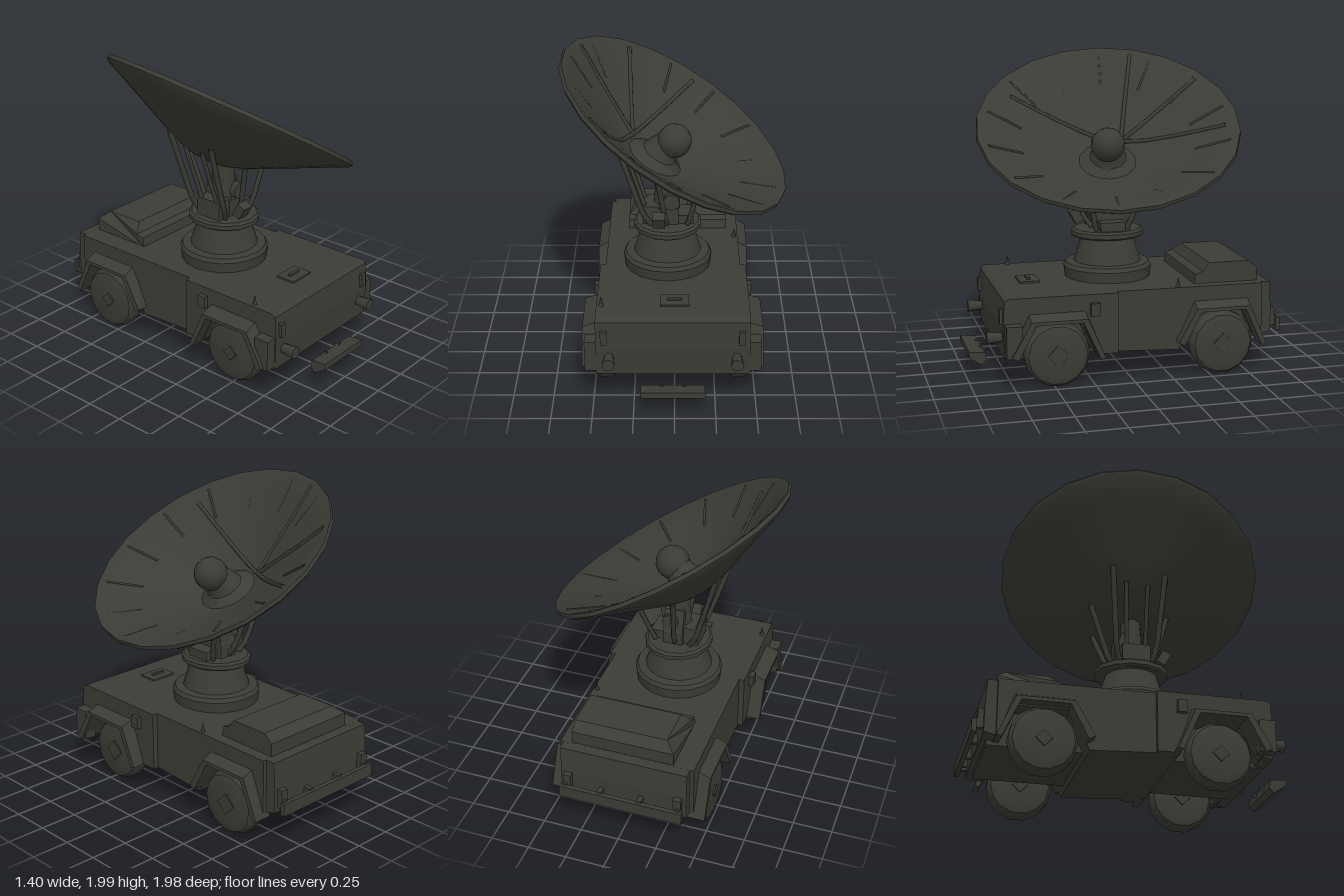
import * as THREE from 'three';
import { toCreasedNormals } from 'three/addons/utils/BufferGeometryUtils.js';

export function createModel() {
  const model = new THREE.Group();
  model.name = 'radarTruck';
  const paint = new THREE.MeshStandardMaterial({ color: 0x3b3c35, side: THREE.DoubleSide });
  paint.name = 'dark olive';
  const V = (x, y, z) => new THREE.Vector3(x, y, z);

  function add(name, geometry, x = 0, y = 0, z = 0, parent = model) {
    const mesh = new THREE.Mesh(geometry, paint);
    mesh.name = name;
    mesh.position.set(x, y, z);
    parent.add(mesh);
    return mesh;
  }
  const box = (name, w, h, d, x, y, z) => add(name, new THREE.BoxGeometry(w, h, d), x, y, z);

  // Side outline given as [z, y], extruded across x and centred on x = 0
  function sideExtrude(outline, width) {
    const shape = new THREE.Shape(outline.map(([z, y]) => new THREE.Vector2(z, y)));
    const g = new THREE.ExtrudeGeometry(shape, { depth: width, bevelEnabled: false });
    return g.translate(0, 0, -width / 2).rotateY(-Math.PI / 2);
  }
  const lathe = (points, sides) => toCreasedNormals(
    new THREE.LatheGeometry(points.map(([r, y]) => new THREE.Vector2(r, y)), sides), 0.6);

  // Straight or bent bar through a few points
  function bar(name, points, radius, parent = model) {
    const path = new THREE.CurvePath();
    for (let i = 1; i < points.length; i++) path.add(new THREE.LineCurve3(points[i - 1], points[i]));
    return add(name, new THREE.TubeGeometry(path, 4 * (points.length - 1), radius, 6), 0, 0, 0, parent);
  }

  // Hull with cut-out wheel arches: wide front, slightly narrower rear, stepped tail
  add('frontHull', sideExtrude([
    [0.81, 0.21], [0.82, 0.4], [0.81, 0.57], [0.78, 0.585], [0.1, 0.582], [0.1, 0.2],
    [0.24, 0.2], [0.34, 0.43], [0.64, 0.43], [0.75, 0.22],
  ], 0.94), -0.01);
  add('rearHull', sideExtrude([
    [0.1, 0.2], [0.1, 0.582], [-0.85, 0.577], [-0.85, 0.23], [-0.82, 0.23],
    [-0.74, 0.42], [-0.42, 0.42], [-0.3, 0.18],
  ], 0.87), -0.01);
  add('tail', sideExtrude([[-0.84, 0.577], [-0.91, 0.575], [-0.92, 0.4], [-0.92, 0.25], [-0.84, 0.23]], 0.82), -0.01);
  box('chassis', 0.6, 0.34, 1.68, -0.01, 0.38, -0.05);

  // Wheels, hubs and fender flares
  const tyre = lathe([[0, -0.065], [0.14, -0.075], [0.185, -0.06], [0.205, -0.03],
    [0.205, 0.03], [0.185, 0.06], [0.14, 0.075], [0, 0.065]], 14).rotateZ(Math.PI / 2);
  const hub = new THREE.CylinderGeometry(0.05, 0.07, 0.155, 4).rotateZ(Math.PI / 2);
  for (const [end, wz, flareWidth, reach] of [['front', 0.48, 0.17, 0.557], ['rear', -0.58, 0.12, 0.507]]) {
    for (const s of [1, -1]) {
      const flare = sideExtrude([
        [0.3, 0.24], [0.18, 0.51], [-0.17, 0.51], [-0.28, 0.2],
        [-0.25, 0.19], [-0.14, 0.43], [0.15, 0.43], [0.26, 0.22],
      ], flareWidth);
      // The top of the flare slopes down towards its outer lip
      const q = flare.attributes.position;
      for (let i = 0; i < q.count; i++) {
        if (q.getX(i) * s > 0 && q.getY(i) > 0.45) q.setY(i, 0.452);
      }
      flare.computeVertexNormals();
      const side = s > 0 ? 'Left' : 'Right';
      add(end + side + 'Flare', flare, s * (reach - flareWidth / 2) - 0.012, 0, wz);
      add(end + side + 'Wheel', tyre, s * 0.415 - 0.015, 0.21, wz);
      add(end + side + 'Hub', hub, s * 0.415 - 0.015, 0.21, wz);
    }
  }
  // Solid blocks on the front corners and side lamps behind the front flares
  for (const s of [1, -1]) {
    box('frontCornerBlock', 0.08, 0.2, 0.1, s * 0.5 - 0.01, 0.33, 0.76);
    box('sideLamp', 0.06, 0.08, 0.06, s * 0.47 - 0.01, 0.49, 0.25);
  }

  // Rear canopy with chamfered top
  const canopy = sideExtrude([[-0.42, 0.57], [-0.43, 0.64], [-0.48, 0.655], [-0.52, 0.71],
    [-0.78, 0.71], [-0.84, 0.66], [-0.84, 0.57]], 0.66);
  const c = canopy.attributes.position;
  for (let i = 0; i < c.count; i++) if (c.getY(i) > 0.7 && c.getX(i) < 0) c.setX(i, -0.27);
  canopy.computeVertexNormals();
  add('rearCanopy', canopy, 0.02);

  // Bumpers, lamps and small deck fittings
  add('frontBumper', sideExtrude([[0.88, 0.13], [0.91, 0.1], [0.99, 0.15], [0.99, 0.19], [0.89, 0.18]], 0.39), -0.01);
  for (const x of [-0.08, 0.06]) {
    const bracket = add('bumperBracket', new THREE.ConeGeometry(0.03, 0.06, 4), x, 0.165, 0.88);
    bracket.rotation.x = -Math.PI / 2;
  }
  box('rearBumper', 0.8, 0.08, 0.03, -0.01, 0.29, -0.975);
  for (const x of [-0.38, -0.13, 0.13, 0.36]) box('rearBumperBracket', 0.03, 0.06, 0.07, x, 0.31, -0.935);
  for (const s of [1, -1]) {
    const lamp = new THREE.CylinderGeometry(0.04, 0.03, 0.1, 8).rotateX(Math.PI / 2);
    add('headlamp', lamp, s * 0.39 - 0.01, 0.33, 0.86);
    box('markerLamp', 0.04, 0.09, 0.03, s * 0.42 - 0.01, 0.47, 0.82);
    box('tailLamp', 0.05, 0.1, 0.05, s * 0.36 - 0.01, 0.35, -0.93);
  }
  add('deckHook', new THREE.ConeGeometry(0.018, 0.07, 4), -0.45, 0.615, 0.63);
  add('deckHook', new THREE.ConeGeometry(0.018, 0.07, 4), 0.4, 0.61, -0.3);
  box('frontHatch', 0.18, 0.012, 0.13, 0, 0.589, 0.58);
  box('frontHatchHandle', 0.09, 0.02, 0.02, 0, 0.598, 0.58);

  // Pedestal: round base, cone and turntable ring
  const px = -0.045, pz = 0.045;
  add('pedestalBase', lathe([[0, 0.56], [0.275, 0.56], [0.285, 0.65], [0.27, 0.675], [0.215, 0.68]], 20), px, 0, pz);
  add('pedestalCone', lathe([[0.22, 0.67], [0.2, 0.73], [0.165, 0.85], [0, 0.85]], 20), px, 0, pz);
  const ring = lathe([[0, 0.84], [0.205, 0.84], [0.222, 0.852], [0.222, 0.88], [0.205, 0.893], [0, 0.893]], 14);
  add('turntable', ring.scale(0.98, 1, 1.06), px, 0, pz);

  // Neck and drive housings
  add('neckBlock', sideExtrude([[0.14, 0.89], [0.14, 1.0], [0.09, 1.03], [0.09, 1.13], [-0.03, 1.13], [-0.07, 0.98], [-0.07, 0.89]], 0.13), -0.04);
  add('neckColumn', new THREE.CylinderGeometry(0.06, 0.085, 0.32, 8), -0.05, 1.13, pz);
  const trunnion = new THREE.CylinderGeometry(0.055, 0.055, 0.22, 8).rotateX(Math.PI / 2);
  add('trunnion', trunnion, -0.02, 1.05, pz);
  box('driveHousing', 0.12, 0.12, 0.18, -0.14, 0.955, pz);
  box('gearHousing', 0.1, 0.06, 0.16, 0.07, 0.92, pz);
  const motor = box('motorBox', 0.08, 0.09, 0.06, -0.1, 0.97, 0.24);
  motor.rotation.x = 0.5;

  // Dish, tilted towards the left and up, a little longer than wide
  const dish = new THREE.Group();
  dish.name = 'dishAssembly';
  dish.position.set(0, 1.55, 0.045);
  dish.quaternion.setFromUnitVectors(V(0, 1, 0), V(0.52, 0.85, 0.09).normalize());
  model.add(dish);
  dish.updateMatrix();
  const inner = [[0, -0.3], [0.1, -0.298], [0.24, -0.255], [0.36, -0.195], [0.53, -0.115], [0.68, -0.04], [0.8, 0.02]];
  const outer = [[0, -0.335], [0.12, -0.325], [0.25, -0.28], [0.38, -0.22], [0.55, -0.14], [0.7, -0.07],
    [0.81, -0.02], [0.83, 0], [0.825, 0.025]];
  add('dishShell', lathe([...outer, ...inner.slice().reverse()], 22).scale(0.985, 1, 1.015), 0, 0, 0, dish);

  // Point on a dish profile at local x, z
  const onDish = (profile, x, z) => {
    const r = Math.hypot(x, z);
    const k = profile.findIndex(([pr]) => pr > r);
    const [r0, y0] = profile[k - 1], [r1, y1] = profile[k];
    return V(x, y0 + (y1 - y0) * (r - r0) / (r1 - r0), z);
  };
  // Pipes fanning out over the high side of the dish
  for (const [x, z] of [[-0.37, -0.68], [0.12, -0.74], [-0.71, -0.32], [-0.45, 0.55]]) {
    const points = [0, 0.25, 0.5, 0.75, 1].map(
      (t) => onDish(inner, THREE.MathUtils.lerp(-0.15, x, t), THREE.MathUtils.lerp(-0.13, z, t)));
    bar('dishPipe', points, 0.014, dish);
  }
  // Short radial ribs near the rim
  for (let i = 0; i < 14; i++) {
    const a = (i / 14) * Math.PI * 2 + 0.15;
    bar('dishRib', [0.56, 0.67, 0.78].map((r) => onDish(inner, Math.cos(a) * r * 0.985, Math.sin(a) * r)), 0.008, dish);
  }
  // Feed horn and its ball
  add('feedHorn', lathe([[0.2, -0.28], [0.12, -0.23], [0.075, -0.12]], 12), 0.03, 0, 0, dish);
  add('feedBall', new THREE.SphereGeometry(0.11, 12, 8), 0.06, -0.1, 0.015, dish);

  // Bent struts from the turntable to the underside of the dish
  const under = (x, z) => onDish(outer, x, z).applyMatrix4(dish.matrix);
  for (const s of [1, -1]) {
    bar('rearStrut', [V(-0.15, 0.9, pz + s * 0.1), V(-0.2, 0.98, pz + s * 0.13), under(-0.25, s * 0.17)], 0.018);
    bar('innerStrut', [V(-0.16, 0.9, pz + s * 0.05), V(-0.18, 0.98, pz + s * 0.06), under(-0.18, s * 0.07)], 0.014);
    bar('middleStrut', [V(-0.05, 0.9, pz + s * 0.1), V(-0.06, 0.96, pz + s * 0.15), under(0.05, s * 0.25)], 0.017);
    bar('frontStrut', [V(0.08, 0.9, pz + s * 0.1), V(0.1, 0.96, pz + s * 0.12), under(0.32, s * 0.18)], 0.017);
  }
  return model;
}
